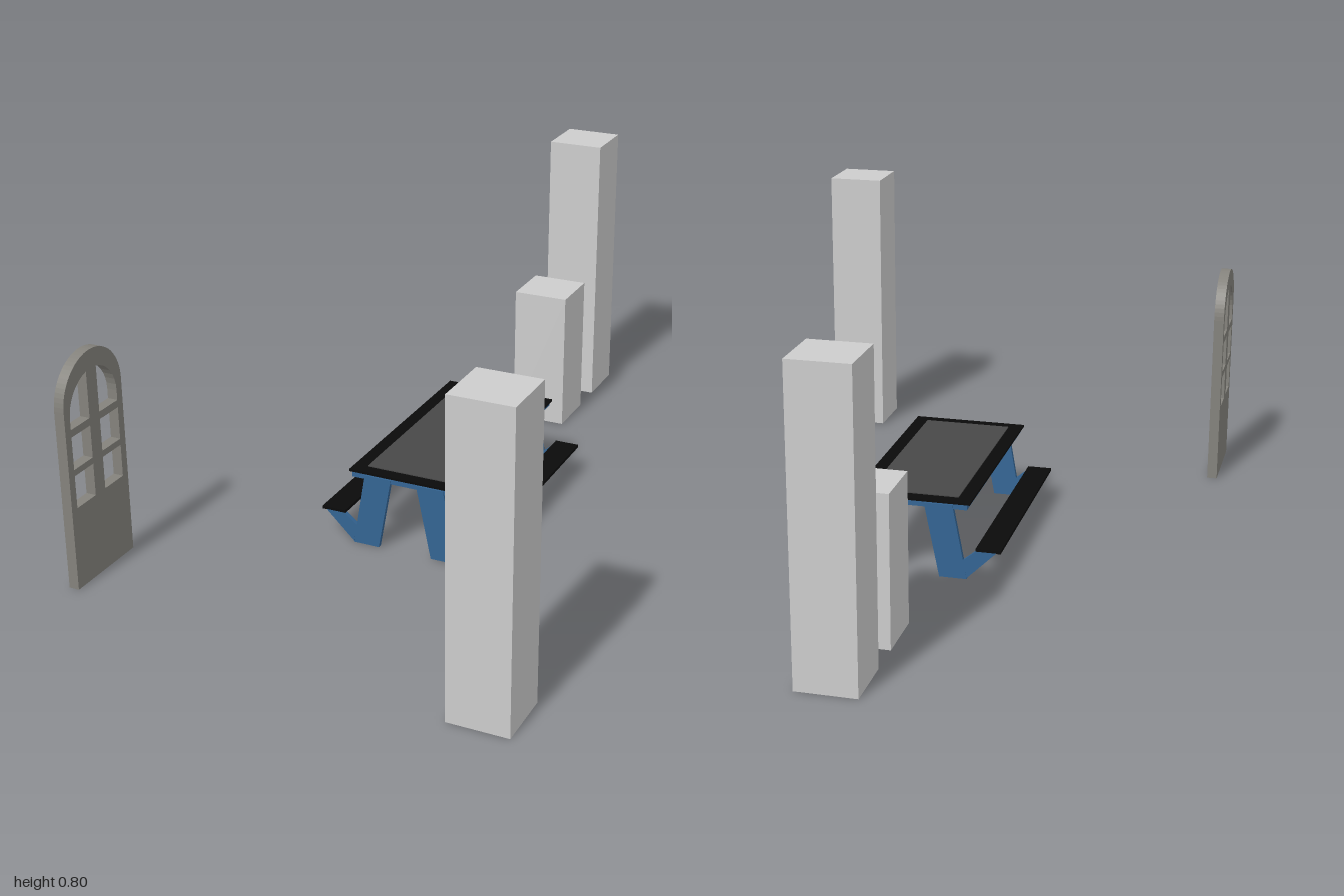
import * as THREE from 'three';

const mat = (name, color) => new THREE.MeshStandardMaterial({ name, color, flatShading: true });

export function createModel() {
  const stone = mat('pale grey', 0xcccccc);
  const blue = mat('blue', 0x346594);
  const black = mat('black', 0x0a0a0a);
  const slate = mat('dark grey', 0x484848);
  const doorGrey = mat('warm grey', 0x84827c);

  const model = new THREE.Group();
  const add = (name, geometry, material, parent = model) => {
    const mesh = new THREE.Mesh(geometry, material);
    mesh.name = name;
    parent.add(mesh);
    return mesh;
  };
  // Box given by its limits on each axis
  const box = (name, [x0, x1], [y0, y1], [z0, z1], material, parent) =>
    add(name, new THREE.BoxGeometry(x1 - x0, y1 - y0, z1 - z0), material, parent)
      .position.set((x0 + x1) / 2, (y0 + y1) / 2, (z0 + z1) / 2);
  const polygon = (points) => new THREE.Shape(points.map(([x, y]) => new THREE.Vector2(x, y)));

  // Free-standing pillars
  box('frontPillar', [0.475, 0.633], [0, 0.797], [0.842, 1], stone);
  box('backPillar', [-0.021, 0.136], [0, 0.793], [-1, -0.843], stone);
  box('shortPillar', [-0.021, 0.136], [0, 0.4], [-0.743, -0.586], stone);

  // Picnic table, built around its own centre line
  const table = new THREE.Group();
  table.name = 'picnicTable';
  table.position.set(0.056, 0, 0.022);
  model.add(table);
  box('tableBoard', [-0.15, 0.15], [0.193, 0.208], [-0.317, 0.317], blue, table);
  box('tableTop', [-0.158, 0.158], [0.207, 0.213], [-0.318, 0.318], black, table);
  box('tableInset', [-0.12, 0.12], [0.212, 0.2155], [-0.284, 0.284], slate, table);

  // Plate legs with bench braces, one of each on every corner
  const leg = [[0.075, 0], [0.149, 0], [0.112, 0.205], [0.036, 0.205]];
  const brace = [[0.149, 0.003], [0.228, 0.081], [0.174, 0.081], [0.139, 0.052]];
  const plate = 0.012;
  for (const side of [-1, 1]) {
    const name = side > 0 ? 'left' : 'right';
    for (const end of [-1, 1]) {
      for (const [part, points] of [['Leg', leg], ['Brace', brace]]) {
        const shape = polygon(points.map(([x, y]) => [side * x, y]));
        const geometry = new THREE.ExtrudeGeometry(shape, { depth: plate, bevelEnabled: false });
        geometry.translate(0, 0, -plate / 2);
        // Legs lean out slightly towards the ends of the table
        const p = geometry.attributes.position;
        for (let i = 0; i < p.count; i++) p.setZ(i, p.getZ(i) + end * (0.309 + p.getY(i) * 0.025));
        geometry.computeVertexNormals();
        add(name + part, geometry, blue, table);
      }
    }
    const xs = [side * 0.173, side * 0.24].sort((a, b) => a - b);
    box(name + 'Bench', xs, [0.08, 0.088], [-0.317, 0.317], black, table);
  }

  // Arched door with six open lights, drawn in z and y, then turned to face x
  const r = 0.1225, spring = 0.487;
  const door = new THREE.Shape();
  door.moveTo(-r, 0);
  door.lineTo(r, 0);
  door.lineTo(r, spring);
  door.absarc(0, spring, r, 0, Math.PI, false);
  door.lineTo(-r, 0);

  const inner = 0.021, outer = 0.1, archBase = 0.46;
  for (const s of [-1, 1]) {
    for (const [y0, y1] of [[0.22, 0.308], [0.325, 0.413]]) {
      door.holes.push(polygon([[s * inner, y0], [s * outer, y0], [s * outer, y1], [s * inner, y1]]));
    }
    // Top light follows the arch
    const points = [[s * inner, 0.433], [s * outer, 0.433]];
    const last = Math.acos(inner / outer);
    for (let i = 0; i <= 8; i++) {
      const a = last * i / 8;
      points.push([s * outer * Math.cos(a), archBase + outer * Math.sin(a)]);
    }
    door.holes.push(polygon(points));
  }
  const doorGeometry = new THREE.ExtrudeGeometry(door, { depth: 0.028, bevelEnabled: false, curveSegments: 16 });
  doorGeometry.rotateY(-Math.PI / 2);
  add('archedDoor', doorGeometry, doorGrey).position.set(-0.605, 0, 0.731);

  return model;
}
